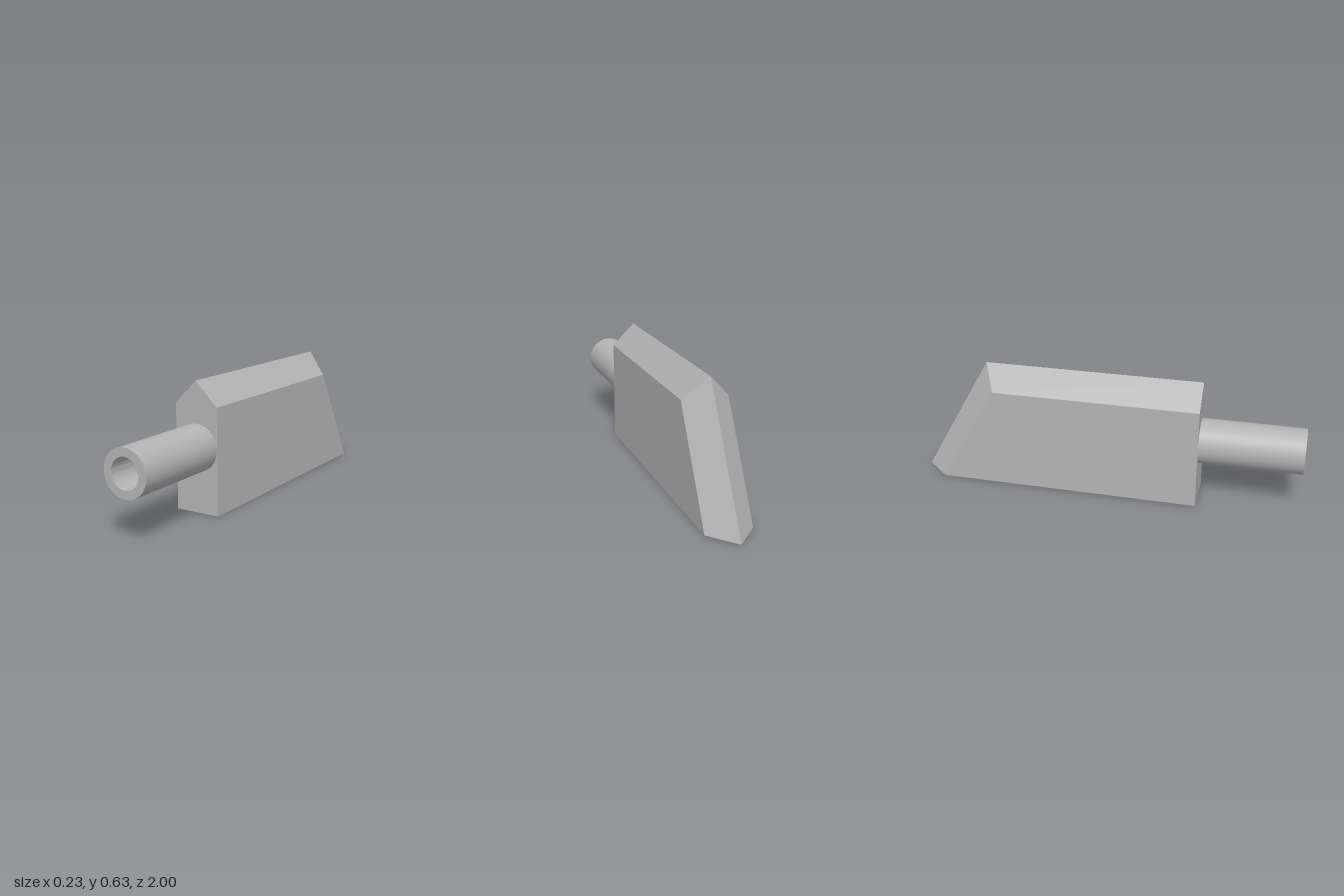
import * as THREE from 'three';
import { toCreasedNormals } from 'three/addons/utils/BufferGeometryUtils.js';
import { ConvexGeometry } from 'three/addons/geometries/ConvexGeometry.js';

const HALF_WIDTH = 0.115, SHOULDER = 0.52, RIDGE = 0.635, FRONT = 0.485;

// The back slants forward with height and away from the centre edge.
const backZ = (x, y) => -1 + 0.577 * y + 1.13 * Math.abs(x);

// Slab with a gabled top and a wedge-shaped back.
function bladeGeometry() {
  const outline = [
    [-HALF_WIDTH, 0], [0, 0], [HALF_WIDTH, 0],
    [HALF_WIDTH, SHOULDER], [0, RIDGE], [-HALF_WIDTH, SHOULDER],
  ];
  const points = [];
  for (const [x, y] of outline) {
    points.push(new THREE.Vector3(x, y, backZ(x, y)));
    // The bottom centre is a corner only at the back.
    if (x !== 0 || y !== 0) points.push(new THREE.Vector3(x, y, FRONT));
  }
  return new ConvexGeometry(points);
}

// Round shank with a blind bore in its front end.
function shankGeometry() {
  const outer = 0.114, bore = 0.074, depth = 0.15;
  const profile = [
    [outer, FRONT], [outer, 1], [bore, 1], [bore, 1 - depth], [0, 1 - depth],
  ].map(([r, z]) => new THREE.Vector2(r, z));
  const geometry = new THREE.LatheGeometry(profile, 64);
  geometry.rotateX(Math.PI / 2);
  return toCreasedNormals(geometry, Math.PI / 6);
}

export function createModel() {
  const metal = new THREE.MeshStandardMaterial({ color: 0xb4b4b4 });
  metal.name = 'grey metal';

  const blade = new THREE.Mesh(bladeGeometry(), metal);
  blade.name = 'blade';

  const shank = new THREE.Mesh(shankGeometry(), metal);
  shank.name = 'shank';
  shank.position.y = 0.318;

  const model = new THREE.Group();
  model.name = 'wedgeTool';
  model.add(blade, shank);
  return model;
}
